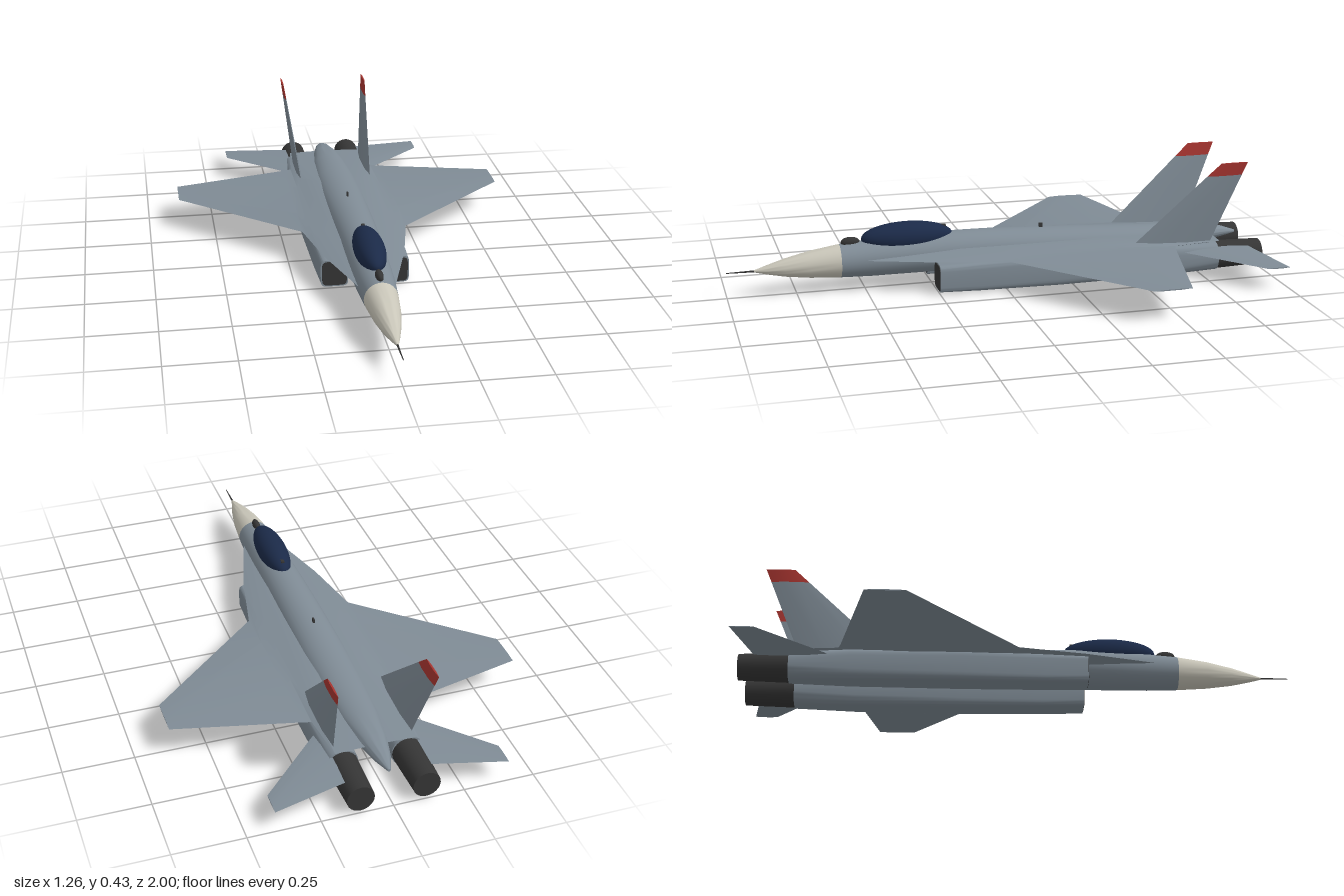
import * as THREE from 'three';
import { toCreasedNormals } from 'three/addons/utils/BufferGeometryUtils.js';

const paint = (name, color) => {
  const m = new THREE.MeshStandardMaterial({ color });
  m.name = name;
  return m;
};

// Closed skin through rings of [x, y, z] points, faces turned outward.
function loft(rings, crease = 0.6) {
  const n = rings[0].length;
  const pts = rings.flat().map((p) => new THREE.Vector3(...p));
  const idx = [];
  for (let i = 0; i < rings.length - 1; i++) {
    for (let j = 0; j < n; j++) {
      const a = i * n + j, b = i * n + ((j + 1) % n);
      idx.push(a, b, b + n, a, b + n, a + n);
    }
  }
  const last = (rings.length - 1) * n;
  for (let j = 1; j < n - 1; j++) {
    idx.push(0, j + 1, j, last, last + j, last + j + 1);
  }
  let volume = 0;
  for (let i = 0; i < idx.length; i += 3) {
    const [a, b, c] = [pts[idx[i]], pts[idx[i + 1]], pts[idx[i + 2]]];
    volume += a.dot(b.clone().cross(c));
  }
  if (volume < 0) idx.reverse();
  const g = new THREE.BufferGeometry().setFromPoints(pts);
  g.setIndex(idx);
  return toCreasedNormals(g, crease);
}

// Cross-section at z: power 2 is an ellipse, larger is a rounded box.
function ring(z, cx, cy, w, h, power = 2, n = 32) {
  const bend = (v) => Math.sign(v) * Math.abs(v) ** (2 / power);
  return Array.from({ length: n }, (_, i) => {
    const t = (i / n) * Math.PI * 2;
    return [cx + w * bend(Math.cos(t)), cy + h * bend(Math.sin(t)), z];
  });
}

// Thin six-point aerofoil running front to back, as [offset, z] pairs.
function foil(front, back, t) {
  const at = (f) => front + (back - front) * f;
  return [[0, at(0)], [t, at(0.25)], [t, at(0.7)], [0, at(1)], [-t, at(0.7)], [-t, at(0.25)]];
}
const flatFoil = (x, y, front, back, t) => foil(front, back, t).map(([o, z]) => [x, y + o, z]);
const finFoil = (x, y, front, back, t) => foil(front, back, t).map(([o, z]) => [x + o, y, z]);

export function createModel() {
  const model = new THREE.Group();
  model.name = 'jetAircraft';
  const grey = paint('airframeGrey', 0x7f8b95);
  const cream = paint('radomeCream', 0xc9c6b9);
  const navy = paint('canopyNavy', 0x1b2a48);
  const dark = paint('darkMetal', 0x353535);
  const red = paint('finTipRed', 0xa83530);

  const add = (name, geometry, material, parent = model) => {
    const m = new THREE.Mesh(geometry, material);
    m.name = name;
    parent.add(m);
    return m;
  };

  // Nose cone and fuselage: z, centre y, half width, half height
  const nose = [
    [0.9, 0.1, 0.004, 0.004], [0.85, 0.102, 0.018, 0.018], [0.79, 0.105, 0.033, 0.033],
    [0.7, 0.11, 0.049, 0.049], [0.59, 0.115, 0.06, 0.061],
  ];
  const body = [
    [0.59, 0.115, 0.06, 0.061], [0.48, 0.118, 0.068, 0.067], [0.35, 0.121, 0.073, 0.07],
    [0.2, 0.124, 0.077, 0.073], [0, 0.123, 0.08, 0.071], [-0.3, 0.118, 0.084, 0.063],
    [-0.5, 0.116, 0.08, 0.054], [-0.68, 0.117, 0.066, 0.045], [-0.8, 0.119, 0.049, 0.035],
    [-0.89, 0.118, 0.028, 0.021], [-0.95, 0.113, 0.005, 0.005],
  ];
  const hull = (rows) => loft(rows.map(([z, cy, w, h]) => ring(z, 0, cy, w, h)));
  add('noseCone', hull(nose), cream);
  add('fuselage', hull(body), grey);

  // Nose probe
  const probe = add('noseProbe', new THREE.CylinderGeometry(0.0015, 0.004, 0.11, 8), dark);
  probe.rotation.x = Math.PI / 2;
  probe.position.set(0, 0.1, 0.945);

  // Canopy, sensor ball and small fittings along the spine
  const canopy = add('canopy', new THREE.SphereGeometry(1, 32, 20), navy);
  canopy.scale.set(0.055, 0.055, 0.17);
  canopy.position.set(0, 0.19, 0.34);
  const sensor = add('sensorBall', new THREE.SphereGeometry(1, 16, 10), dark);
  sensor.scale.set(0.014, 0.018, 0.035);
  sensor.position.set(0, 0.184, 0.55);
  add('canopyHinge', new THREE.BoxGeometry(0.012, 0.03, 0.016), dark).position.set(0, 0.21, 0.203);
  add('spineAntenna', new THREE.BoxGeometry(0.006, 0.02, 0.014), dark).position.set(0, 0.192, -0.17);

  // Paired parts
  for (const s of [1, -1]) {
    const half = new THREE.Group();
    half.name = s > 0 ? 'leftSide' : 'rightSide';
    model.add(half);

    // Wing blended into the leading-edge strake and rear deck
    add('wing', loft([
      flatFoil(0, 0.128, 0.54, -0.83, 0.025),
      flatFoil(s * 0.068, 0.127, 0.5, -0.83, 0.022),
      flatFoil(s * 0.145, 0.124, 0.24, -0.83, 0.014),
      flatFoil(s * 0.165, 0.123, 0.145, -0.645, 0.012),
      flatFoil(s * 0.195, 0.122, 0, -0.635, 0.01),
      flatFoil(s * 0.632, 0.12, -0.39, -0.53, 0.002),
    ], 0.3), grey, half);

    // Engine housing with dark intake face
    add('engineHousing', loft([
      ring(0.25, s * 0.111, 0.062, 0.05, 0.051, 6),
      ring(0.1, s * 0.114, 0.062, 0.053, 0.054, 6),
      ring(-0.2, s * 0.118, 0.064, 0.057, 0.059, 5),
      ring(-0.6, s * 0.118, 0.065, 0.057, 0.059, 4),
      ring(-0.82, s * 0.116, 0.064, 0.056, 0.055, 2.4),
    ]), grey, half);
    add('intakeFace', loft([
      ring(0.246, s * 0.111, 0.062, 0.045, 0.046, 6),
      ring(0.252, s * 0.111, 0.062, 0.045, 0.046, 6),
    ]), dark, half);

    // Exhaust nozzle
    const nozzle = add('nozzle', new THREE.CylinderGeometry(0.054, 0.048, 0.19, 24), dark, half);
    nozzle.rotation.x = Math.PI / 2;
    nozzle.position.set(s * 0.115, 0.063, -0.905);

    // Tailplane
    add('tailplane', loft([
      flatFoil(s * 0.15, 0.097, -0.66, -0.945, 0.006),
      flatFoil(s * 0.405, 0.086, -0.915, -1, 0.002),
    ], 0.3), grey, half);

    // Upright fin with a red tip
    const finRows = [
      finFoil(s * 0.138, 0.115, -0.47, -0.79, 0.009),
      finFoil(s * 0.165, 0.382, -0.762, -0.9, 0.004),
      finFoil(s * 0.17, 0.43, -0.815, -0.92, 0.003),
    ];
    add('fin', loft(finRows.slice(0, 2), 0.3), grey, half);
    add('finTip', loft(finRows.slice(1), 0.3), red, half);
  }
  return model;
}
